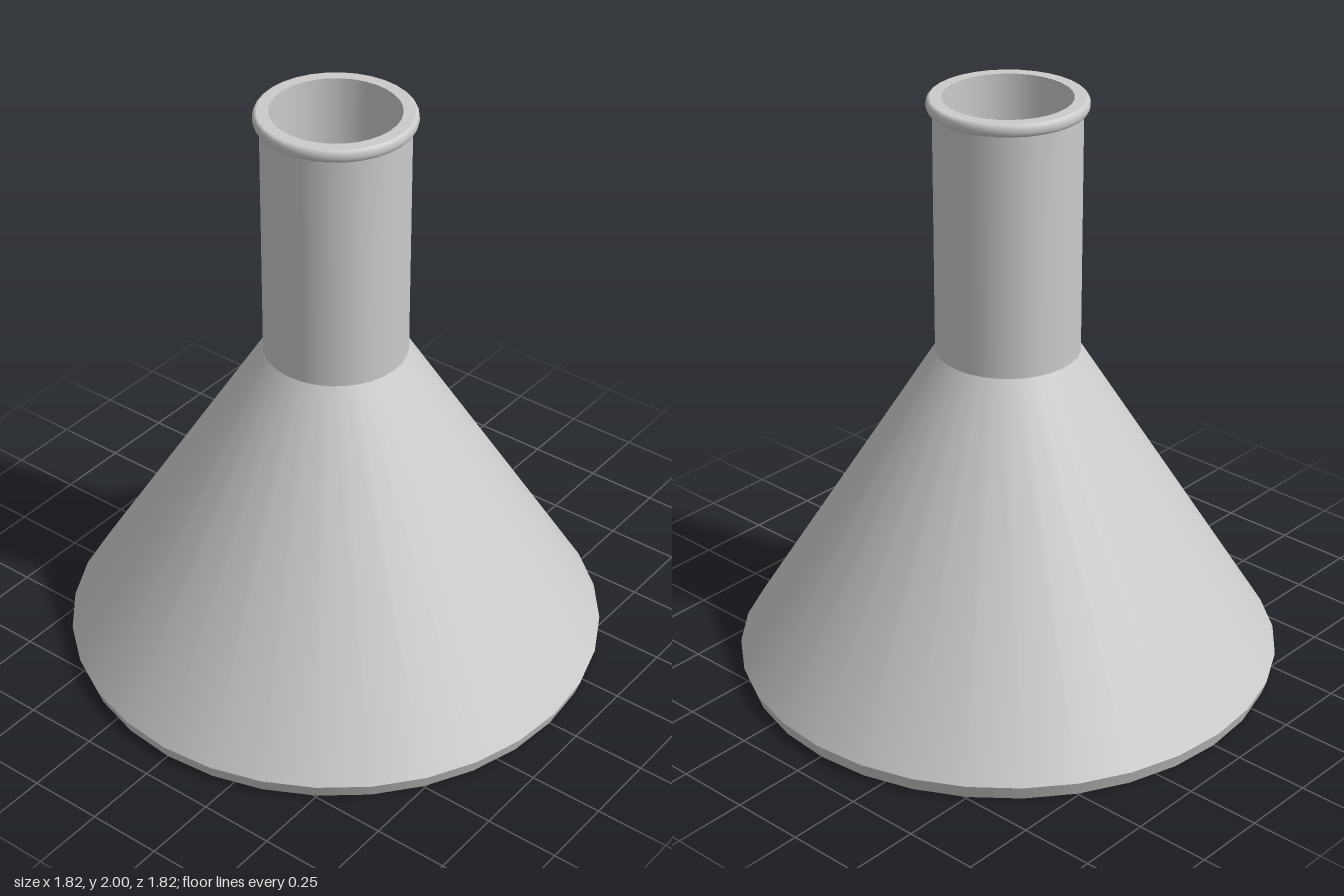
import * as THREE from 'three';

const SIDES = 32;
const material = new THREE.MeshStandardMaterial({ color: 0xcccccc });

// Revolved band; points run up the outside, over the lip and down the inside
function band(name, points) {
  const profile = points.map(([r, y]) => new THREE.Vector2(r, y));
  const mesh = new THREE.Mesh(new THREE.LatheGeometry(profile, SIDES), material);
  mesh.name = name;
  return mesh;
}

export function createModel() {
  const flask = new THREE.Group();
  flask.name = 'conicalFlask';

  // Rounded outer bead of the lip
  const bead = [];
  for (let i = 0; i <= 8; i++) {
    const a = -Math.PI / 2 + (i / 8) * Math.PI;
    bead.push([0.245 + 0.012 * Math.cos(a), 1.979 + 0.021 * Math.sin(a)]);
  }

  // Separate bands keep a sharp crease at each change of slope
  flask.add(
    band('baseUnderside', [[0, 0], [0.895, 0]]),
    band('baseBevel', [[0.895, 0], [0.912, 0.05]]),
    band('coneBody', [[0.912, 0.05], [0.237, 1.14]]),
    band('neck', [[0.237, 1.14], [0.237, 1.958]]),
    band('lipUnderside', [[0.237, 1.958], [0.245, 1.958]]),
    band('lipBead', bead),
    band('lipTop', [[0.245, 2], [0.207, 2]]),
    band('neckInside', [[0.207, 2], [0.207, 1.13]]),
    band('coneInside', [[0.207, 1.13], [0.875, 0.05]]),
    band('bevelInside', [[0.875, 0.05], [0.868, 0.03]]),
    band('floorInside', [[0.868, 0.03], [0, 0.03]])
  );
  return flask;
}
